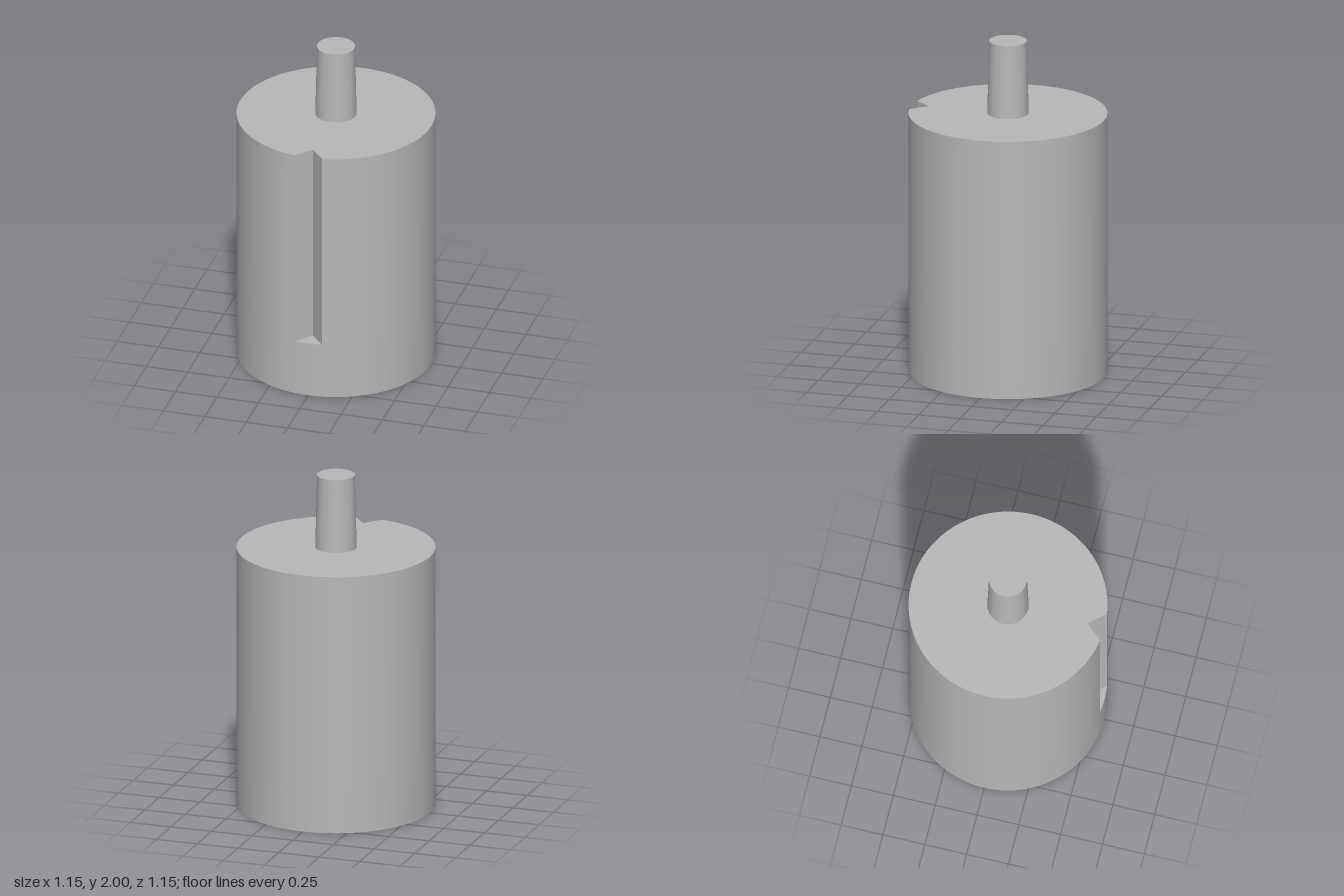
import * as THREE from 'three';
import { mergeGeometries, toCreasedNormals } from 'three/addons/utils/BufferGeometryUtils.js';

// Outlines are drawn on the ground plane as seen from above: (x, -z), counter-clockwise.
function arc(cy, r, from, to, n) {
  return Array.from({ length: n + 1 }, (_, i) => {
    const a = from + ((to - from) * i) / n;
    return new THREE.Vector2(r * Math.cos(a), cy + r * Math.sin(a));
  });
}

// Upright wall along a closed outline; inward walls line a pocket.
function wall(outline, y0, y1, inward = false) {
  const pts = inward ? [...outline].reverse() : outline;
  const pos = [];
  pts.forEach((p, i) => {
    const q = pts[(i + 1) % pts.length];
    if (p.distanceTo(q) < 1e-6) return;
    pos.push(p.x, y0, -p.y, q.x, y0, -q.y, q.x, y1, -q.y);
    pos.push(p.x, y0, -p.y, q.x, y1, -q.y, p.x, y1, -p.y);
  });
  const g = new THREE.BufferGeometry();
  g.setAttribute('position', new THREE.Float32BufferAttribute(pos, 3));
  return g;
}

// Flat horizontal face, optionally with a hole, facing up or down.
function face(outline, y, up = true, hole = null) {
  const shape = new THREE.Shape(outline);
  if (hole) shape.holes.push(new THREE.Path(hole));
  const g = new THREE.ShapeGeometry(shape);
  if (!up) g.index.array.reverse();
  g.rotateX(-Math.PI / 2).translate(0, y, 0);
  g.deleteAttribute('uv');
  g.deleteAttribute('normal');
  return g.toNonIndexed();
}

export function createModel() {
  const grey = new THREE.MeshStandardMaterial({ color: 0xb8b8b8 });
  grey.name = 'grey';
  const group = new THREE.Group();
  const add = (name, geometry) => {
    const mesh = new THREE.Mesh(geometry, grey);
    mesh.name = name;
    group.add(mesh);
  };
  const join = (parts) => toCreasedNormals(mergeGeometries(parts), 0.5);
  const PI = Math.PI;

  // Body outline, with and without the V groove at the front
  const R = 0.577, bodyTop = 1.56, grooveBase = 0.34;
  const half = Math.asin(0.083 / R);
  const mainArc = arc(0, R, -PI / 2 + half, 1.5 * PI - half, 90);
  const frontArc = arc(0, R, 1.5 * PI - half, 1.5 * PI + half, 4);
  const tip = new THREE.Vector2(0, -0.475);
  const round = [...mainArc, ...frontArc.slice(1, -1)];
  const grooved = [...mainArc, tip];

  // Keyhole opening and the wider cavity behind it
  const big = 0.245, small = 0.135, off = 0.2, lipTop = 0.14, cavityTop = 0.31;
  const t = Math.acos(small / big);
  const slotEnd = arc(-off, small, PI, 2 * PI, 24);
  const keyhole = [...arc(off, big, -t, PI + t, 48), ...slotEnd];
  const cavity = [...arc(off, big, 0, PI, 32), ...arc(-off, big, PI, 2 * PI, 32)];
  const lip = [
    ...arc(off, big, 0, -t, 12),
    ...[...slotEnd].reverse(),
    ...arc(off, big, PI + t, PI, 12),
    ...arc(-off, big, PI, 2 * PI, 32),
  ];

  add('body', join([
    wall(round, 0, grooveBase),
    wall(grooved, grooveBase, bodyTop),
    face(grooved, bodyTop),
    face([...frontArc, tip], grooveBase),
    face(round, 0, false, keyhole),
  ]));

  add('keyholeSocket', join([
    wall(keyhole, 0, lipTop, true),
    face(lip, lipTop),
    wall(cavity, lipTop, cavityTop, true),
    face(cavity, cavityTop, false),
  ]));

  // Slightly tapered pin on top
  const pin = new THREE.CylinderGeometry(0.11, 0.12, 2 - bodyTop, 64);
  pin.translate(0, (2 + bodyTop) / 2, 0);
  add('pin', pin);

  return group;
}
